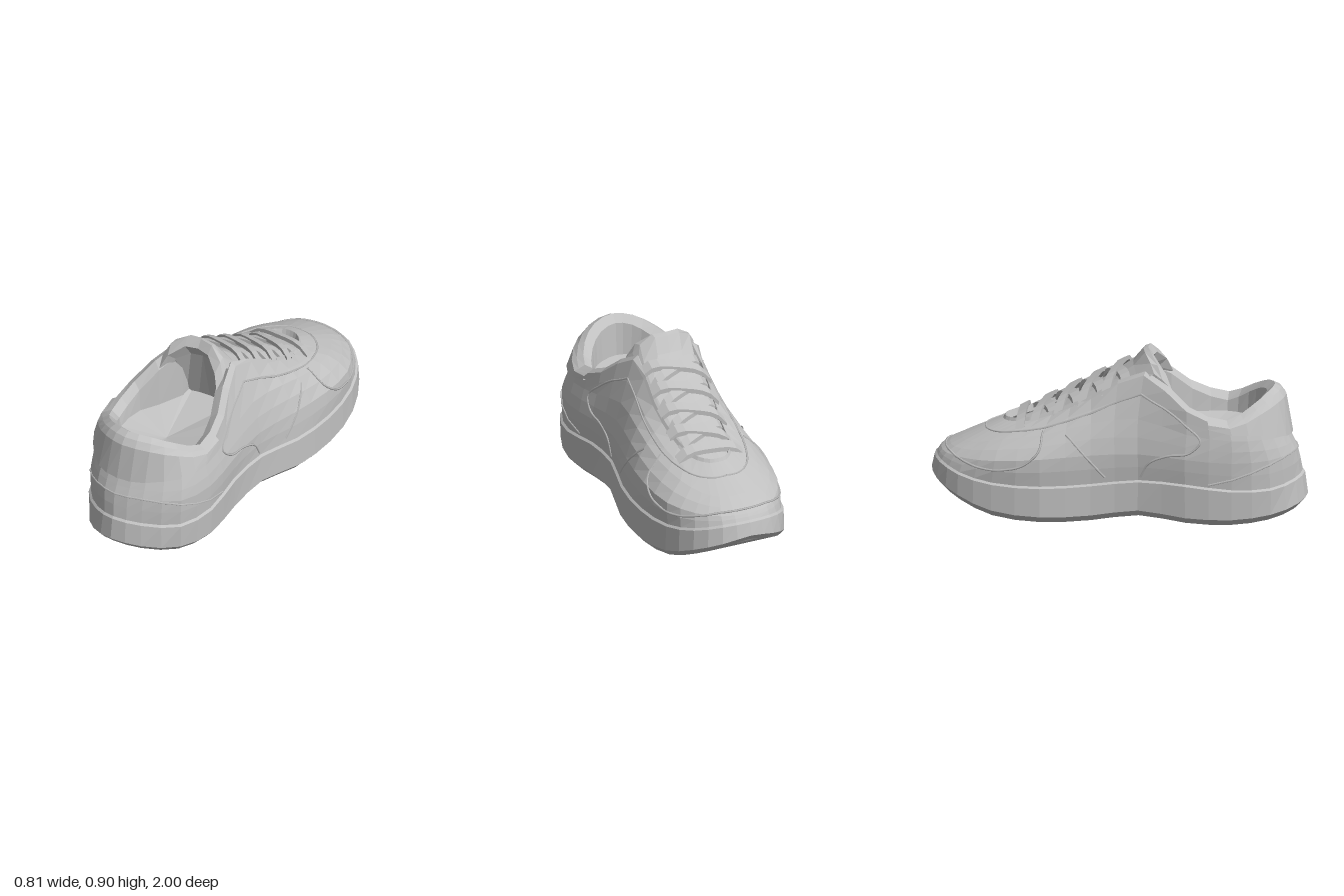
import * as THREE from 'three';

const N = 44; // points around the shoe
const grey = new THREE.MeshStandardMaterial({ color: 0xc0c0c0, side: THREE.DoubleSide });
const V = (x, y, z) => new THREE.Vector3(x, y, z);
const smooth = THREE.MathUtils.smoothstep;

// Closed ring from toe-to-heel stations: right edge out, left edge back.
function ring(xMin, xMax, y, z) {
  const pts = [], last = z.length - 1;
  for (let j = 0; j <= last; j++) pts.push(V(xMax[j], y[j], z[j]));
  for (let j = last - 1; j > 0; j--) pts.push(V(xMin[j], y[j], z[j]));
  const curve = new THREE.CatmullRomCurve3(pts, true);
  return Array.from({ length: N }, (_, i) => curve.getPoint(i / N));
}

// Moves a ring outwards in plan by a distance or rule d(point) and up by dy.
function offset(r, d, dy = 0) {
  return r.map((p, i) => {
    const t = r[(i + 1) % N].clone().sub(r[(i + N - 1) % N]).setY(0).normalize();
    const o = typeof d === 'function' ? d(p) : d;
    return V(p.x + t.z * o, p.y + dy, p.z - t.x * o);
  });
}

// Joins rows of points into a faceted skin.
function loft(rows, closed = true) {
  const n = rows[0].length, pos = [];
  const tri = (...ps) => ps.forEach(p => pos.push(p.x, p.y, p.z));
  for (let k = 0; k < rows.length - 1; k++) {
    for (let i = 0; i < (closed ? n : n - 1); i++) {
      const j = (i + 1) % n;
      tri(rows[k][i], rows[k + 1][i], rows[k][j]);
      tri(rows[k + 1][i], rows[k + 1][j], rows[k][j]);
    }
  }
  const g = new THREE.BufferGeometry();
  g.setAttribute('position', new THREE.Float32BufferAttribute(pos, 3));
  g.computeVertexNormals();
  return g;
}

// Collapses a ring to its lengthwise spine, closing the skin.
const spine = r => r.map((p, i) => V((p.x + r[(N - i) % N].x) / 2, p.y, p.z));

export function createModel() {
  const shoe = new THREE.Group();
  shoe.name = 'shoe';
  const add = (name, geometry) => {
    const m = new THREE.Mesh(geometry, grey);
    m.name = name;
    shoe.add(m);
  };

  // Sole: chamfered bottom, slightly flared wall, small ledge on top
  const sz = [-1, -.97, -.86, -.68, -.42, -.15, .1, .35, .6, .81, .95, 1];
  const sl = [.03, -.115, -.235, -.31, -.35, -.325, -.33, -.395, -.395, -.335, -.21, -.07];
  const sr = [.03, .185, .305, .38, .406, .38, .315, .305, .318, .255, .09, -.07];
  const lowY = [.21, .18, .125, .06, .035, .04, .07, .045, .035, .05, .08, .1];
  const topY = [.28, .27, .235, .2, .19, .2, .225, .22, .19, .185, .205, .22];
  const low = offset(ring(sl, sr, lowY, sz), p => -.012 * smooth(p.z, 0, .4) * (1 - smooth(p.z, .75, .95)));
  const top = offset(ring(sl, sr, topY, sz), p => -.004 - .012 * smooth(Math.abs(p.z), .8, 1));
  const bottom = offset(low, -.03, -.034);
  const ledge = offset(top, -.012, .01);
  add('sole', loft([spine(bottom), bottom, low, top, ledge]));

  // Upper: columns curved from the sole ledge to the collar and throat edge
  const waist = ring(
    [.03, -.1, -.205, -.295, -.335, -.315, -.32, -.39, -.39, -.325, -.21, -.08],
    [.03, .17, .275, .36, .378, .345, .295, .295, .305, .245, .075, -.08],
    [.32, .32, .32, .33, .35, .37, .38, .37, .35, .35, .36, .36],
    [-.95, -.92, -.82, -.66, -.42, -.15, .1, .35, .6, .795, .91, .945]);
  const shoulder = ring(
    [.03, -.07, -.14, -.2, -.25, -.26, -.28, -.37, -.385, -.32, -.21, -.08],
    [.03, .13, .2, .26, .29, .28, .25, .26, .275, .225, .07, -.08],
    [.38, .38, .39, .42, .46, .53, .56, .5, .47, .46, .45, .45],
    [-.84, -.82, -.75, -.62, -.41, -.15, .1, .36, .6, .76, .87, .9]);
  const edge = ring(
    [.03, -.02, -.07, -.11, -.13, -.17, -.22, -.355, -.37, -.29, -.19, -.07],
    [.03, .08, .13, .16, .18, .185, .16, .235, .255, .18, .07, -.07],
    [.48, .48, .485, .5, .54, .64, .785, .625, .555, .62, .67, .685],
    [-.62, -.61, -.56, -.48, -.36, -.15, .13, .36, .58, .73, .82, .86]);
  const columns = ledge.map((p, i) => new THREE.CatmullRomCurve3([p, waist[i], shoulder[i], edge[i]]));
  const at = (i, v) => {
    const a = Math.floor(i), f = i - a;
    return columns[(a + N) % N].getPoint(v).lerp(columns[(a + 1 + N) % N].getPoint(v), f);
  };
  const rows = [0, .17, .33, .5, .67, .84, 1].map(v => columns.map(c => c.getPoint(v)));
  add('upper', loft(rows));

  // Rim, lining round the foot opening, and a dished insole
  const inset = k => p => -k * (.02 + .05 * smooth(p.z, 0, .2));
  const rim = offset(edge, inset(.5), .018);
  const inner = offset(edge, inset(1.1), -.02);
  const opening = [];
  for (let i = 11; i <= N - 11; i++) opening.push(i);
  const floor = offset(edge, inset(1.25)).map(p => p.setY(.48));
  const pick = r => opening.map(i => r[i]);
  add('rim', loft([edge, rim, inner]));
  add('lining', loft([pick(inner), pick(floor)], false));
  add('insole', loft([pick(floor), opening.map(() => V(-.07, .42, .45))]));

  // Raised padding wrapped round the heel collar
  const pad = [[], [], [], []];
  for (let i = 15; i <= N - 15; i++) {
    const v = .66 + .2 * Math.pow(Math.abs(i - 22) / 7, 2);
    const out = p => p.add(V(p.x + .06, 0, p.z - .45).setLength(.02));
    pad[0].push(at(i, v));
    pad[1].push(out(at(i, v)));
    pad[2].push(out(at(i, .95)));
    pad[3].push(at(i, 1));
  }
  add('heelCollarPad', loft(pad, false));

  // Raised panel seams that follow the upper: [column, height] points
  const seams = {
    QuarterSeam: [[12, .86], [14, .78], [14.6, .6], [14.2, .43], [13.2, .34], [12.4, .21], [12.1, .04]],
    MidSeam: [[9, .6], [9.7, .35], [10.6, .06]],
    ToeSeam: [[8, .74], [8, .5], [7.5, .3], [6.5, .2], [5, .2], [3.5, .3], [2, .4], [0, .43]],
    EyestaySeam: [[0, .87], [3, .85], [6, .8], [8, .78], [10, .8], [12, .86]],
    HeelSeam: [[22, .33], [20, .33], [18, .27], [16, .12], [15, .03]],
  };
  for (const [name, path] of Object.entries(seams)) {
    const flat = new THREE.CatmullRomCurve3(path.map(([i, v]) => V(i, v, 0))).getPoints(24);
    for (const side of ['left', 'right']) {
      const pts = flat.map(p => at(side === 'left' ? p.x : N - p.x, p.y));
      add(side + name, new THREE.TubeGeometry(new THREE.CatmullRomCurve3(pts), 48, .006, 4));
    }
  }

  // Tongue: arched strip folded over at the top and down to the insole
  // [x, y, z, halfWidth, drop, sweep]
  const tongue = [
    [.03, .45, -.57, .1, .01, 0], [.02, .56, -.3, .14, .03, 0], [0, .715, -.05, .17, .05, 0],
    [-.03, .81, .07, .18, .07, .03], [-.045, .885, .125, .18, .09, .06], [-.045, .895, .15, .19, .13, .08],
    [-.045, .85, .18, .18, .14, .1], [-.04, .78, .14, .165, .08, .09], [-.04, .47, .07, .16, 0, .03],
  ];
  add('tongue', loft(tongue.map(([x, y, z, w, drop, sweep]) =>
    [-1, -.82, -.4, 0, .4, .82, 1].map(t =>
      V(x + w * t, y - drop * t ** 4, z + sweep * t * t))), false));

  // Laces: flat straps arched over the tongue
  const lace = (name, x0, z0, x1, z1, lift) => {
    const sections = [];
    for (let k = 0; k <= 8; k++) {
      const t = k / 8, z = z0 + (z1 - z0) * t;
      const y = .76 + .53 * z + lift - .06 * Math.pow(2 * t - 1, 4);
      const x = x0 + (x1 - x0) * t;
      sections.push([[-.024, -.015], [.024, .01], [.024, .034], [-.024, .01]]
        .map(([dz, dy]) => V(x, y + dy, z + dz)));
    }
    add(name, loft(sections));
  };
  lace('frontLace', -.16, -.53, .22, -.5, .025);
  for (let k = 0; k < 4; k++) {
    const z = -.4 + k * .128, w = .165 + k * .003, c = .03 - k * .016;
    lace('crossLaceUnder', c - w, z + .055, c + w, z - .055, 0);
    lace('crossLaceOver', c - w, z - .055, c + w, z + .055, .014);
  }
  return shoe;
}
